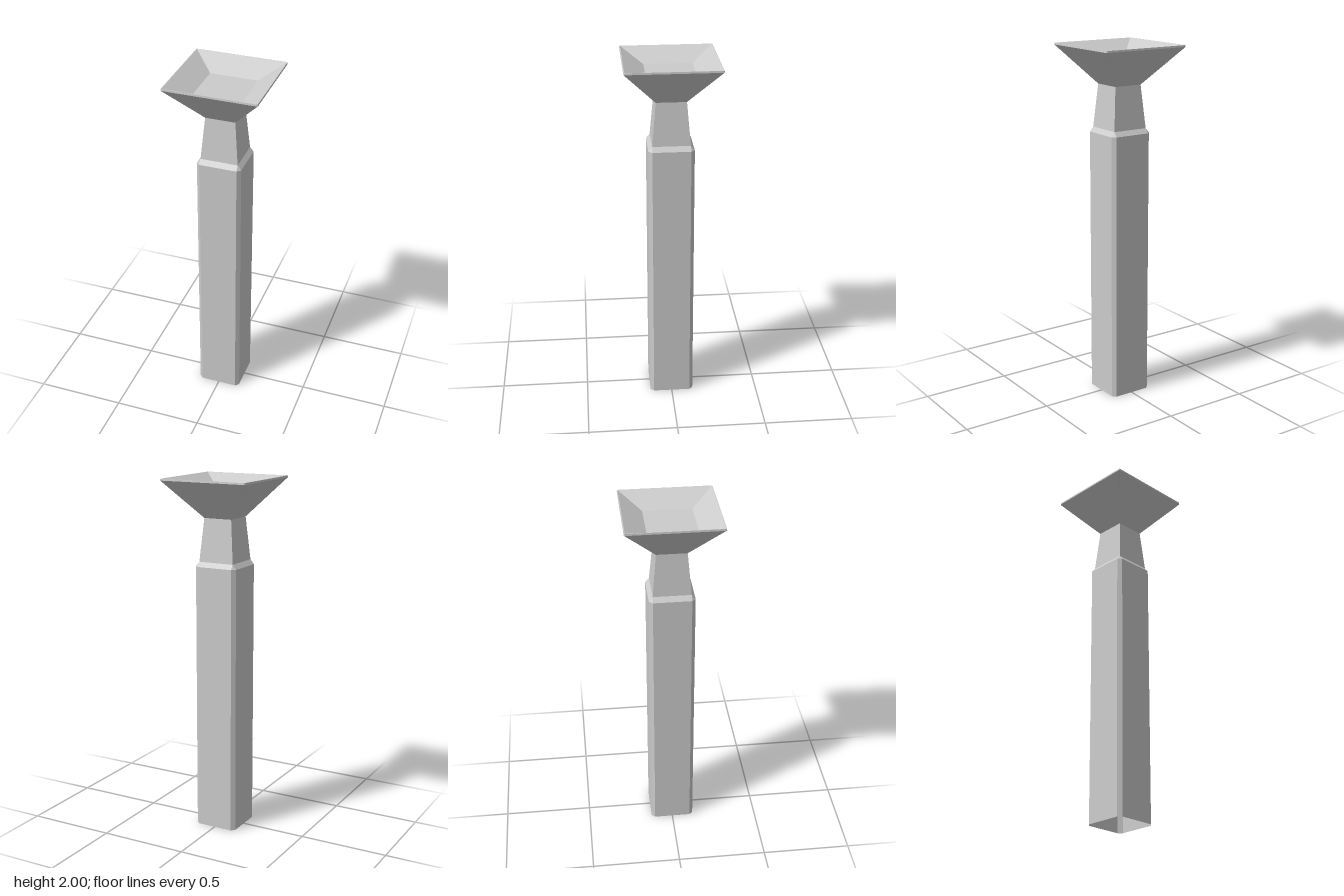
import * as THREE from 'three';

const material = new THREE.MeshStandardMaterial({
  color: 0xcccccc, flatShading: true, side: THREE.DoubleSide,
});

// Square outline with cut corners, running counterclockwise seen from above
function squareRing([half, cut, y]) {
  const points = [];
  let corner = [[half - cut, half], [half, half - cut]];
  for (let k = 0; k < 4; k++) {
    for (const [x, z] of corner) points.push(new THREE.Vector3(x, y, z));
    corner = corner.map(([x, z]) => [z, -x]);
  }
  return points;
}

// Skin consecutive sections, each given as [half width, corner cut, height]
function loft(name, sections) {
  const rings = sections.map(squareRing);
  const positions = [];
  const addTriangle = (a, b, c) => {
    if (new THREE.Triangle(a, b, c).getArea() < 1e-9) return;
    for (const p of [a, b, c]) positions.push(p.x, p.y, p.z);
  };
  for (let r = 0; r < rings.length - 1; r++) {
    const low = rings[r], high = rings[r + 1];
    for (let i = 0; i < 8; i++) {
      const j = (i + 1) % 8;
      addTriangle(low[i], low[j], high[j]);
      addTriangle(low[i], high[j], high[i]);
    }
  }
  const geometry = new THREE.BufferGeometry();
  geometry.setAttribute('position', new THREE.Float32BufferAttribute(positions, 3));
  geometry.computeVertexNormals();
  const mesh = new THREE.Mesh(geometry, material);
  mesh.name = name;
  return mesh;
}

export function createModel() {
  const model = new THREE.Group();
  model.name = 'squarePost';

  // Hollow shaft, open below, with cut corners and a bevelled shoulder
  model.add(loft('shaft', [[0.125, 0.02, 0], [0.125, 0.02, 1.518], [0.104, 0, 1.544]]));

  // Tapered neck
  model.add(loft('neck', [[0.104, 0, 1.544], [0.083, 0, 1.783]]));

  // Flared bowl: outside, thin rim, sloping inside and flat floor
  model.add(loft('bowl', [
    [0.083, 0, 1.783],
    [0.256, 0.004, 1.99],
    [0.255, 0.004, 2],
    [0.251, 0, 2],
    [0.133, 0, 1.93],
    [0, 0, 1.93],
  ]));

  return model;
}
